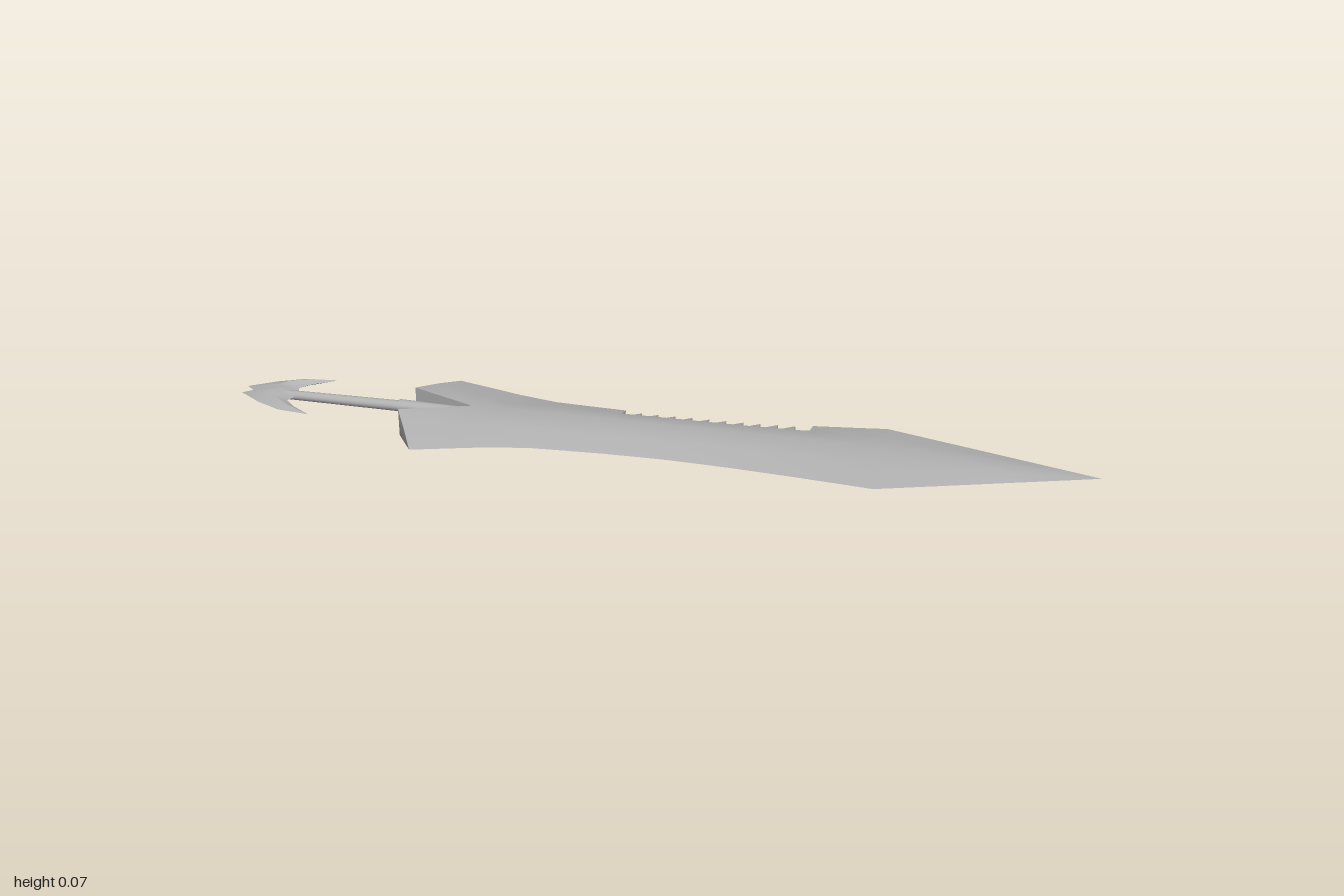
import * as THREE from 'three';
import { mergeGeometries, toCreasedNormals } from 'three/addons/utils/BufferGeometryUtils.js';

// Skin a list of closed rings of [x, y, z] points, optionally capping the first ring
function loft(rings, capStart = false) {
  const pos = [];
  const same = (a, b) => a.every((v, k) => Math.abs(v - b[k]) < 1e-6);
  const tri = (a, b, c) => {
    if (!same(a, b) && !same(b, c) && !same(a, c)) pos.push(...a, ...b, ...c);
  };
  const n = rings[0].length;
  for (let i = 0; i < rings.length - 1; i++) {
    for (let j = 0; j < n; j++) {
      const k = (j + 1) % n;
      const a = rings[i][j], b = rings[i][k], c = rings[i + 1][j], d = rings[i + 1][k];
      tri(a, c, b);
      tri(b, c, d);
    }
  }
  if (capStart) for (let j = 1; j < n - 1; j++) tri(rings[0][0], rings[0][j], rings[0][j + 1]);
  const g = new THREE.BufferGeometry();
  g.setAttribute('position', new THREE.Float32BufferAttribute(pos, 3));
  return g;
}

// Straight interpolation in a list of [x, value] pairs
function sample(list, x) {
  for (let i = 1; i < list.length; i++) {
    const [x0, v0] = list[i - 1], [x1, v1] = list[i];
    if (x <= x1) return v0 + (v1 - v0) * (x - x0) / (x1 - x0);
  }
  return list[list.length - 1][1];
}

const NOTCH = -0.43;
const frontEdge = [[NOTCH, 0.16], [-0.36, 0.14], [-0.26, 0.121], [-0.1, 0.113], [0.05, 0.112],
  [0.2, 0.12], [0.36, 0.134], [0.52, 0.152], [1, 0.004]];
const backEdge = [[NOTCH, -0.163], [-0.36, -0.142], [-0.26, -0.121], [-0.1, -0.112],
  [0.2, -0.114], [0.36, -0.124], [0.52, -0.143], [1, 0.004]];
const topRidge = [[NOTCH, 0.07], [0, 0.072], [0.36, 0.071], [0.52, 0.067], [0.8, 0.057], [1, 0.047]];
const bottomRidge = [[NOTCH, 0.003], [0, 0.004], [0.36, 0.01], [0.52, 0.015], [0.8, 0.031], [1, 0.047]];
const midLine = [[NOTCH, 0.037], [0.36, 0.041], [1, 0.047]];
const backFullness = [[NOTCH, 0.62], [-0.37, 0.36], [-0.26, 0.62], [1, 0.62]];

// Lens-shaped blade section: front edge, over the top, back edge, underneath
function section(x, bite = 0) {
  const zf = sample(frontEdge, x), zb = sample(backEdge, x);
  const t = sample(topRidge, x), b = sample(bottomRidge, x), m = sample(midLine, x);
  const f = 0.62, r = sample(backFullness, x), c = 0.004;
  const zfm = c + (zf - c) * 0.5, zbm = c + (zb - c) * 0.5;
  return [
    [x, m, zf], [x, m + (t - m) * f, zfm], [x, t, c], [x, m + (t - m) * r, zbm],
    [x, m, zb + bite], [x, m + (b - m) * r, zbm], [x, b, c], [x, m + (b - m) * f, zfm],
  ];
}

function bladeGeometry() {
  const rings = [NOTCH, -0.37, -0.31, -0.26, -0.18].map((x) => section(x));
  // Saw teeth on the back edge
  const teeth = 11, x0 = -0.09, pitch = 0.04;
  for (let i = 0; i < teeth; i++) {
    const x = x0 + i * pitch;
    rings.push(section(x, i ? 0.007 : 0), section(x + 0.004, 0.029));
  }
  const end = x0 + teeth * pitch;
  rings.push(section(end - 0.002, 0.024), section(end));
  for (const x of [0.44, 0.52, 0.66, 0.82, 1]) rings.push(section(x));

  // Forked guard prongs, one for each edge
  const s = section(NOTCH);
  const ends = (k) => [
    [-0.52, 0.037, 0.187 * k], [-0.555, 0.056, 0.122 * k], [-0.59, 0.07, 0.06 * k],
    [-0.59, 0.003, 0.06 * k], [-0.555, 0.018, 0.122 * k],
  ];
  const front = loft([ends(1), [s[0], s[1], s[2], s[6], s[7]]], true);
  const back = loft([ends(-1).reverse(), [s[4], s[3], s[2], s[6], s[5]].reverse()], true);
  return toCreasedNormals(mergeGeometries([loft(rings), front, back]), 0.6);
}

// Crescent with two barbs: outer x, outer z, inner x, inner z, half thickness
function pommelGeometry() {
  const half = [
    [-0.8, 0.095, -0.8, 0.095, 0], [-0.88, 0.086, -0.85, 0.062, 0.008],
    [-0.94, 0.058, -0.877, 0.036, 0.012], [-1, 0.018, -0.868, 0.014, 0.014],
  ];
  const ring = ([ox, oz, ix, iz, h], k) => {
    const mx = ox * 0.4 + ix * 0.6, mz = (oz * 0.4 + iz * 0.6) * k, c = 0.049, w = -0.004;
    return [[ox, c, oz * k + w], [mx, c + h, mz + w], [ix, c, iz * k + w], [mx, c - h, mz + w]];
  };
  const rings = [
    ...half.map((p) => ring(p, -1)),
    ring([-0.978, 0, -0.868, 0, 0.015], 1),
    ...half.map((p) => ring(p, 1)).reverse(),
  ];
  return toCreasedNormals(loft(rings), 0.6);
}

export function createModel() {
  const group = new THREE.Group();
  const steel = new THREE.MeshStandardMaterial({ color: 0xb0b0b0 });
  steel.name = 'steel';
  const add = (name, geometry) => {
    const mesh = new THREE.Mesh(geometry, steel);
    mesh.name = name;
    group.add(mesh);
    return mesh;
  };

  add('blade', bladeGeometry());
  add('pommel', pommelGeometry());

  // Thin grip rod and the thicker collar where it enters the fork
  const rod = (name, xa, xb, ra, rb) => {
    const mesh = add(name, new THREE.CylinderGeometry(rb, ra, xb - xa, 12));
    mesh.rotation.z = -Math.PI / 2;
    mesh.position.set((xa + xb) / 2, 0.047, -0.003);
  };
  rod('grip', -0.9, -0.6, 0.011, 0.013);
  rod('gripCollar', -0.61, -0.4, 0.016, 0.012);
  return group;
}
